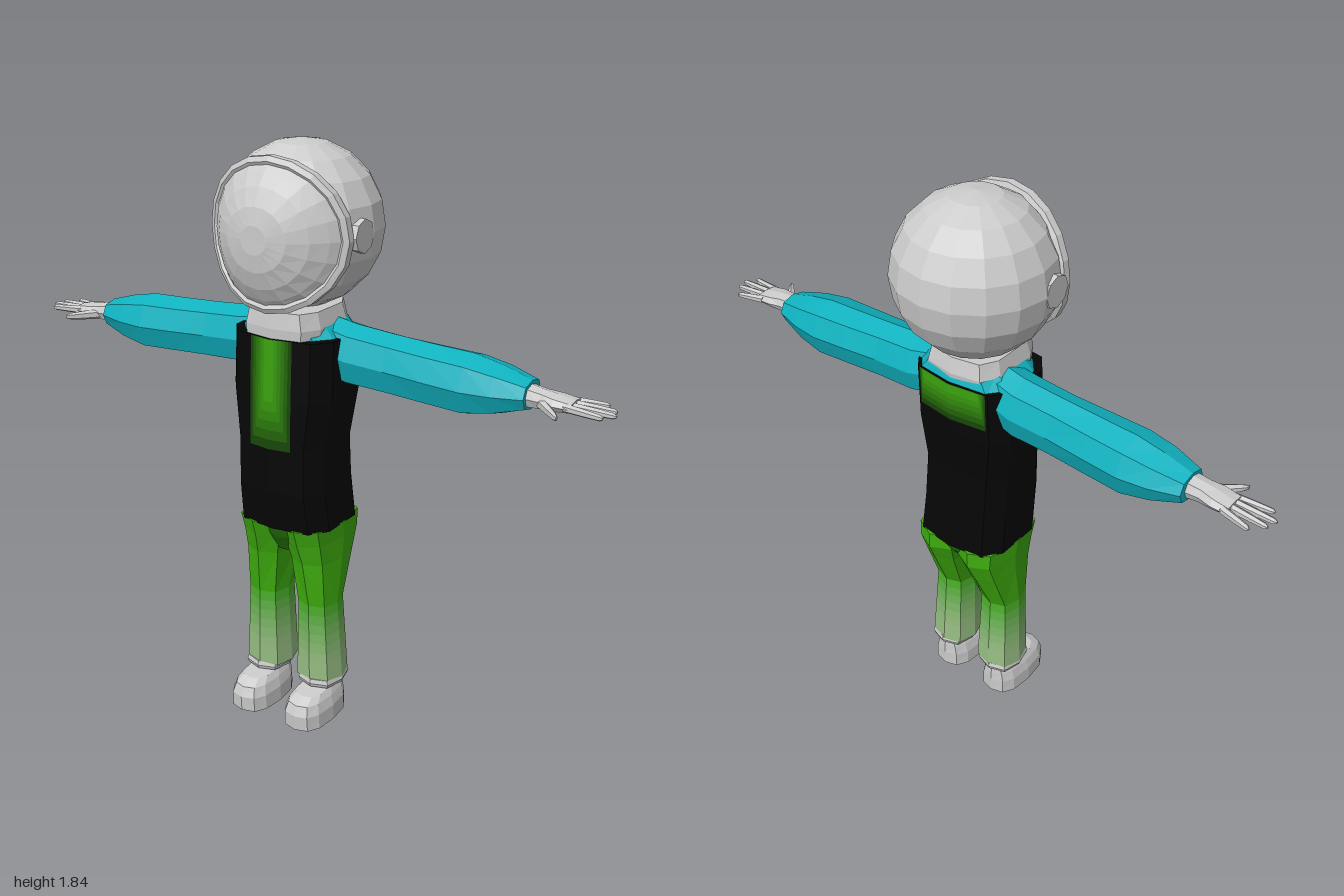
import * as THREE from 'three';

const GREEN = 0x3fae0f, PALE = 0x98bd84, BLACK = 0x060606, CYAN = 0x10b2c0, GREY = 0xcccccc;

function mesh(name, geometry, color = GREY, side = THREE.FrontSide) {
  const m = new THREE.Mesh(geometry, new THREE.MeshStandardMaterial({ color, flatShading: true, side }));
  m.name = name;
  return m;
}

const blend = (a, b, t) => new THREE.Color(a).lerp(new THREE.Color(b), t);
const pow = (v, e) => Math.sign(v) * Math.abs(v) ** e;

// Rounded cross-section spanning [u0,u1] x [v0,v1]; the first point is the middle of the v1 side
function oval(u0, u1, v0, v1, n, e, place) {
  return Array.from({ length: n }, (_, i) => {
    const a = Math.PI / 2 + (i / n) * Math.PI * 2;
    return place((u0 + u1) / 2 + ((u1 - u0) / 2) * pow(Math.cos(a), e),
      (v0 + v1) / 2 + ((v1 - v0) / 2) * pow(Math.sin(a), e));
  });
}
const ringY = (y, x0, x1, z0, z1, n = 10, e = 0.6) => oval(x0, x1, z0, z1, n, e, (x, z) => [x, y, z]);
const ringX = (x, y0, y1, z0, z1, n = 8, e = 0.85) => oval(z0, z1, y0, y1, n, e, (z, y) => [x, y, z]);

// Closed skin over a series of rings, always turned outward
function loft(rings) {
  const n = rings[0].length, pos = rings.flat(2), idx = [];
  rings.slice(1).forEach((_, r) => {
    for (let i = 0; i < n; i++) {
      const a = r * n + i, b = r * n + ((i + 1) % n);
      idx.push(a, b, a + n, b, b + n, a + n);
    }
  });
  [0, rings.length - 1].forEach((r) => {
    const c = pos.length / 3;
    for (let k = 0; k < 3; k++) pos.push(rings[r].reduce((s, p) => s + p[k], 0) / n);
    for (let i = 0; i < n; i++) {
      const a = r * n + i, b = r * n + ((i + 1) % n);
      idx.push(c, r ? a : b, r ? b : a);
    }
  });
  // Signed volume tells which way the faces point
  const P = (i) => new THREE.Vector3().fromArray(pos, i * 3);
  const origin = P(0);
  let volume = 0;
  for (let i = 0; i < idx.length; i += 3) {
    const [a, b, c] = [0, 1, 2].map((k) => P(idx[i + k]).sub(origin));
    volume += a.dot(b.cross(c));
  }
  if (volume < 0) idx.reverse();
  const g = new THREE.BufferGeometry();
  g.setAttribute('position', new THREE.Float32BufferAttribute(pos, 3));
  g.setIndex(idx);
  g.computeVertexNormals();
  return g;
}

// Torso levels: y, half width, back z, front z
const TORSO = [[0.67, 0.165, -0.14, 0.165], [0.8, 0.158, -0.125, 0.185], [0.95, 0.157, -0.11, 0.183],
  [1.1, 0.18, -0.12, 0.178], [1.28, 0.178, -0.128, 0.17]];

function torsoAt(y) {
  const i = Math.max(1, TORSO.findIndex((t) => t[0] >= y));
  const a = TORSO[i - 1], b = TORSO[i], t = (y - a[0]) / (b[0] - a[0]);
  return a.map((v, k) => v + (b[k] - v) * t);
}

// Thin coloured panel lying on the front (dir 1) or back (dir -1) of the vest
function vestPanel(halfWidth, y0, y1, dir, lift) {
  const g = new THREE.PlaneGeometry(2, 1, 2, 6), p = g.attributes.position;
  for (let i = 0; i < p.count; i++) {
    const y = y0 + (p.getY(i) + 0.5) * (y1 - y0), x = p.getX(i) * halfWidth;
    const [, w, zb, zf] = torsoAt(y), mid = (zb + zf) / 2;
    const z = mid + dir * ((zf - zb) / 2) * (1 - 0.12 * Math.abs(x) / (0.727 * w)) + dir * lift;
    p.setXYZ(i, x, y, z);
  }
  g.computeVertexNormals();
  return g;
}

function makeTorso() {
  const g = new THREE.Group();
  g.name = 'torso';
  g.add(mesh('vest', loft(TORSO.map(([y, w, b, f]) => ringY(y, -w, w, b, f))), BLACK));
  g.add(mesh('shoulderYoke', loft([ringY(1.27, -0.172, 0.172, -0.124, 0.14), ringY(1.325, -0.12, 0.12, -0.11, 0.13)]), CYAN));
  g.add(mesh('collar', loft([ringY(1.275, -0.13, 0.13, -0.115, 0.166), ringY(1.31, -0.133, 0.133, -0.12, 0.168),
    ringY(1.36, -0.12, 0.12, -0.11, 0.162)])));
  // Green fades made of stacked bands
  for (let k = 0; k < 6; k++) {
    const t = (k + 1) / 6;
    g.add(mesh('frontStripe', vestPanel(0.072 * (1 - k / 6.5), 0.94 + 0.03 * k, 1.279, 1, 0.001 + 0.0008 * k),
      blend(BLACK, GREEN, t * 0.85), THREE.DoubleSide));
    g.add(mesh('backPanel', vestPanel(0.122 - 0.004 * k, 1.15 + 0.02 * k, 1.279, -1, 0.001 + 0.0008 * k),
      blend(BLACK, GREEN, t * 0.9), THREE.DoubleSide));
  }
  return g;
}

function makeHelmet() {
  const g = new THREE.Group(), R = 0.247;
  g.name = 'helmet';
  g.position.y = 1.592;
  // Shell, pressed in behind the visor
  const shell = new THREE.SphereGeometry(R, 16, 10), p = shell.attributes.position;
  for (let i = 0; i < p.count; i++) if (p.getZ(i) > 0.12) p.setZ(i, 0.12 + (p.getZ(i) - 0.12) * 0.6);
  shell.computeVertexNormals();
  g.add(mesh('shell', shell));
  // Rim bends back at the sides; the visor is a dome inside it
  const N = 20;
  const rim = (r, i) => {
    const a = (i / N) * Math.PI * 2, s = Math.sin(a);
    return [r * Math.cos(a), r * s * 0.94 - 0.008, 0.115 + (s > 0 ? 0.046 : 0.07) * s * s];
  };
  const hoop = (r, dz) => Array.from({ length: N }, (_, i) => {
    const [x, y, z] = rim(r, i);
    return [x, y, z + dz];
  });
  const dome = (t) => hoop(0.222 * t, 0).map(([x, y], i) => {
    const z = rim(1, i)[2];
    return [x, y, z + (0.249 - z) * (1 - t ** 2.6)];
  });
  g.add(mesh('visor', loft([1, 0.88, 0.7, 0.45, 0.2].map(dome))));
  g.add(mesh('visorRim', loft([hoop(0.21, -0.03), hoop(0.238, -0.02), hoop(0.238, 0.005), hoop(0.222, 0.014), hoop(0.21, 0.008)])));
  for (const s of [-1, 1]) {
    const ear = mesh('earPad', new THREE.CylinderGeometry(0.05, 0.05, 0.04, 8));
    ear.rotation.z = Math.PI / 2;
    ear.position.set(s * 0.226, -0.002, 0.05);
    g.add(ear);
  }
  return g;
}

function makeArm(s) {
  const g = new THREE.Group();
  g.name = s > 0 ? 'leftArm' : 'rightArm';
  const limb = (rows, n, e) => loft(rows.map(([x, ...r]) => ringX(s * x, ...r, n, e)));
  g.add(mesh('sleeve', limb([[0.12, 1.14, 1.325, -0.085, 0.07], [0.19, 1.125, 1.312, -0.095, 0.075], [0.32, 1.12, 1.302, -0.092, 0.073],
    [0.45, 1.115, 1.295, -0.1, 0.08], [0.57, 1.11, 1.29, -0.106, 0.084], [0.66, 1.13, 1.272, -0.095, 0.075],
    [0.75, 1.16, 1.245, -0.068, 0.05]]), CYAN));
  g.add(mesh('palm', limb([[0.74, 1.168, 1.236, -0.045, 0.035], [0.79, 1.172, 1.228, -0.04, 0.035],
    [0.83, 1.176, 1.222, -0.05, 0.045], [0.88, 1.181, 1.213, -0.05, 0.04]])));
  // Fingers: root x, root z, tip x, tip z
  [[0.86, -0.038, 0.955, -0.062], [0.86, -0.015, 0.99, -0.025], [0.86, 0.008, 1, 0.008],
    [0.86, 0.028, 0.975, 0.042]].forEach(([x0, z0, x1, z1]) => {
    const row = (t, r) => {
      const z = z0 + (z1 - z0) * t, y = 1.198 - 0.004 * t;
      return [x0 + (x1 - x0) * t, y - r, y + r, z - r, z + r];
    };
    g.add(mesh('finger', limb([row(0, 0.013), row(0.6, 0.011), row(0.93, 0.009), row(1, 0.004)], 6, 1)));
  });
  g.add(mesh('thumb', limb([[0.78, 1.178, 1.212, -0.005, 0.03], [0.82, 1.177, 1.207, 0.03, 0.065],
    [0.855, 1.178, 1.202, 0.07, 0.095], [0.868, 1.183, 1.197, 0.09, 0.102]], 6, 1)));
  return g;
}

function makeLeg(s) {
  const g = new THREE.Group();
  g.name = s > 0 ? 'leftLeg' : 'rightLeg';
  const limb = (rows) => loft(rows.map(([y, x0, x1, z0, z1]) => ringY(y, s * x0, s * x1, z0, z1, 8, 0.75)));
  const knee = [0.4, 0.03, 0.157, -0.04, 0.103], hem = [0.13, 0.022, 0.172, -0.056, 0.102];
  g.add(mesh('thigh', limb([[0.675, -0.01, 0.163, -0.14, 0.163], [0.62, -0.005, 0.16, -0.14, 0.145],
    [0.55, 0.01, 0.158, -0.108, 0.124], knee]), GREEN));
  // Trouser leg fading downward
  const at = (t) => knee.map((v, k) => v + (hem[k] - v) * t);
  for (let k = 0; k < 8; k++) g.add(mesh('shin', limb([at(k / 8), at((k + 1) / 8)]), blend(GREEN, PALE, Math.min(1, (k + 0.5) / 6))));
  g.add(mesh('cuff', limb([[0.11, 0.034, 0.17, -0.055, 0.104], [0.122, 0.03, 0.174, -0.059, 0.108], [0.136, 0.034, 0.17, -0.055, 0.104]])));
  const boot = [[0, 0.072, -0.046, 0.2], [0.05, 0.07, -0.046, 0.203], [0.082, 0.06, -0.044, 0.19], [0.1, 0.05, -0.042, 0.155],
    [0.106, 0.048, -0.042, 0.095], [0.125, 0.05, -0.04, 0.09]];
  g.add(mesh('boot', loft(boot.map(([y, w, b, f]) => ringY(y, s * 0.103 - w, s * 0.103 + w, b, f, 12, 0.75)))));
  return g;
}

export function createModel() {
  const model = new THREE.Group();
  model.name = 'suitedFigure';
  model.add(makeTorso(), makeHelmet());
  // Darker fill between the thighs
  model.add(mesh('crotch', loft([ringY(0.675, -0.1, 0.1, -0.135, 0.15), ringY(0.63, -0.08, 0.08, -0.115, 0.135),
    ringY(0.575, -0.05, 0.05, -0.07, 0.105)]), 0x236f08));
  for (const s of [-1, 1]) model.add(makeArm(s), makeLeg(s));
  return model;
}
